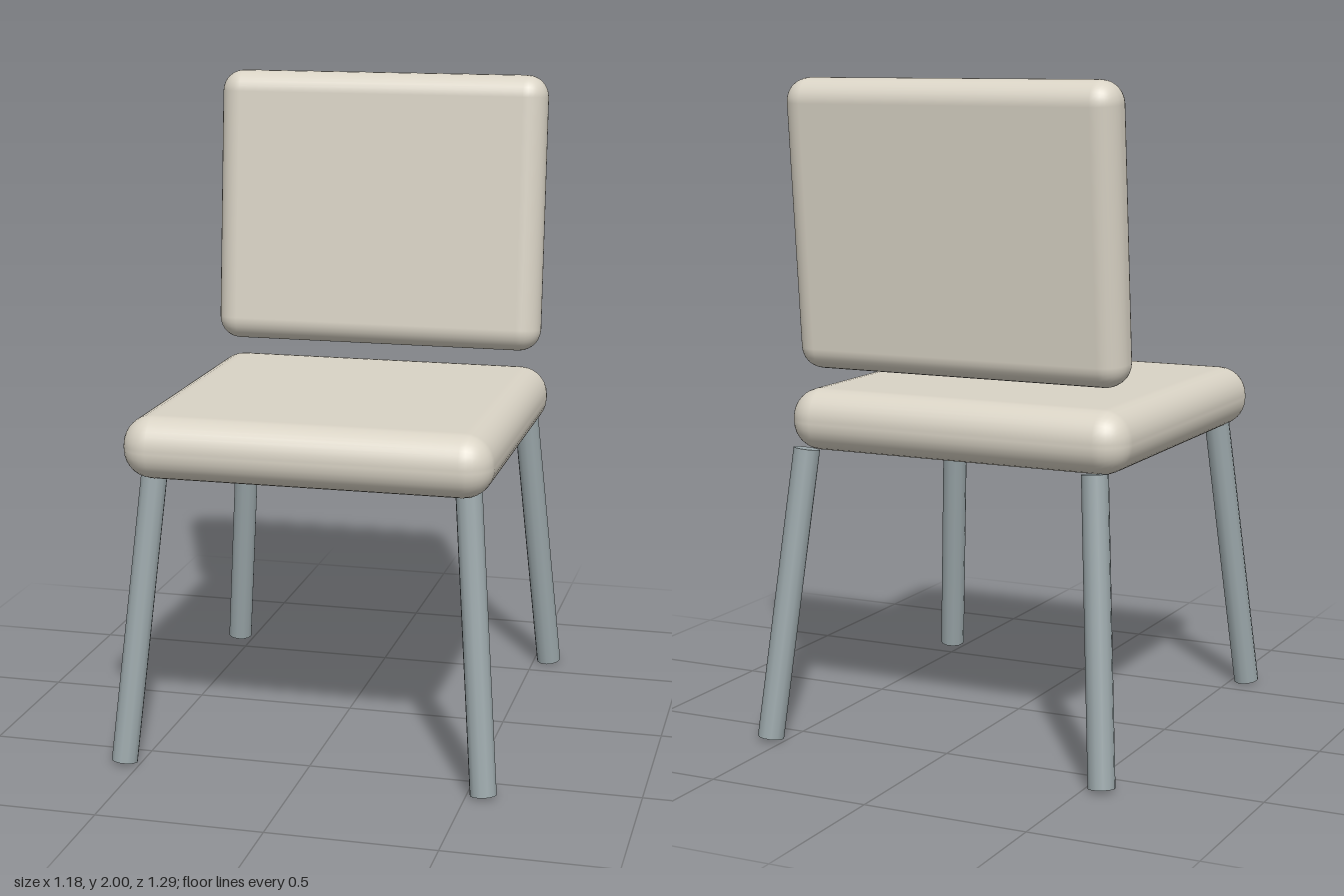
import * as THREE from 'three';
import { RoundedBoxGeometry } from 'three/addons/geometries/RoundedBoxGeometry.js';

export function createModel() {
  const chair = new THREE.Group();
  chair.name = 'chair';
  const fabric = new THREE.MeshStandardMaterial({ color: 0xd9d3c5 });
  const metal = new THREE.MeshStandardMaterial({ color: 0x9ca8ab });

  function cushion(name, w, h, d, radius, y, z) {
    const mesh = new THREE.Mesh(new RoundedBoxGeometry(w, h, d, 4, radius), fabric);
    mesh.name = name;
    mesh.position.set(0, y, z);
    chair.add(mesh);
    return mesh;
  }

  // Padded seat and slightly reclined, floating backrest
  cushion('seat', 1.11, 0.19, 1.11, 0.09, 0.97, 0.057);
  cushion('backrest', 1.07, 0.878, 0.15, 0.07, 1.5625, -0.42).rotation.x = -0.087;

  // Four round legs splayed towards the corners
  const up = new THREE.Vector3(0, 1, 0);
  for (const sz of [1, -1]) {
    for (const sx of [1, -1]) {
      const foot = new THREE.Vector3(sx * 0.55, 0.007, sz * 0.605);
      const top = new THREE.Vector3(sx * 0.475, 0.89, sz * 0.492);
      const axis = top.clone().sub(foot);
      const leg = new THREE.Mesh(new THREE.CylinderGeometry(0.04, 0.04, axis.length(), 12), metal);
      leg.name = (sz > 0 ? 'front' : 'back') + (sx > 0 ? 'Left' : 'Right') + 'Leg';
      leg.position.addVectors(foot, top).multiplyScalar(0.5);
      leg.quaternion.setFromUnitVectors(up, axis.normalize());
      chair.add(leg);
    }
  }
  return chair;
}
